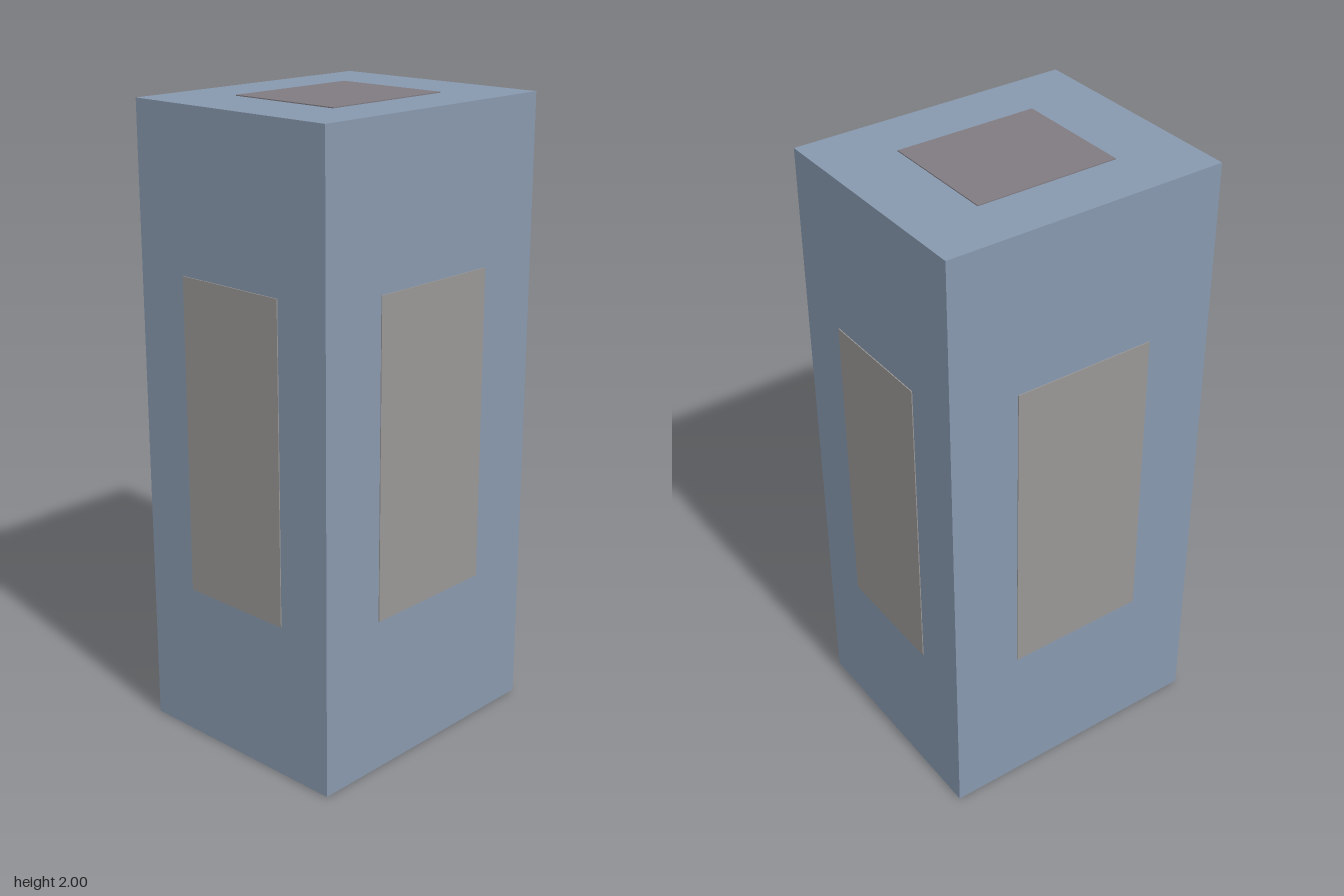
import * as THREE from 'three';

const W = 0.908, H = 1.994, D = 0.756; // body size
const T = 0.003; // how far each panel stands out

export function createModel() {
  const model = new THREE.Group();
  model.name = 'panelledBlock';

  const bodyMaterial = new THREE.MeshStandardMaterial({ color: 0x8898ae });
  const panelMaterial = new THREE.MeshStandardMaterial({ color: 0x999795 });
  const topMaterial = new THREE.MeshStandardMaterial({ color: 0x7f7b81 });

  const addBox = (name, size, position, material) => {
    const mesh = new THREE.Mesh(new THREE.BoxGeometry(...size), material);
    mesh.name = name;
    mesh.position.set(...position);
    model.add(mesh);
  };

  // Main block
  addBox('body', [W, H, D], [0, 1, 0], bodyMaterial);

  // Thin raised panel in the middle of every face, half sunk into the body
  const pw = 0.46, ph = 1, pd = 0.388;
  for (const s of [1, -1]) {
    addBox(s > 0 ? 'frontPanel' : 'backPanel', [pw, ph, 2 * T], [0, 1, s * D / 2], panelMaterial);
    addBox(s > 0 ? 'leftPanel' : 'rightPanel', [2 * T, ph, pd], [s * W / 2, 1, 0], panelMaterial);
    addBox(s > 0 ? 'topPanel' : 'bottomPanel', [pw, 2 * T, pd], [0, 1 + s * H / 2, 0],
      s > 0 ? topMaterial : panelMaterial);
  }
  return model;
}
